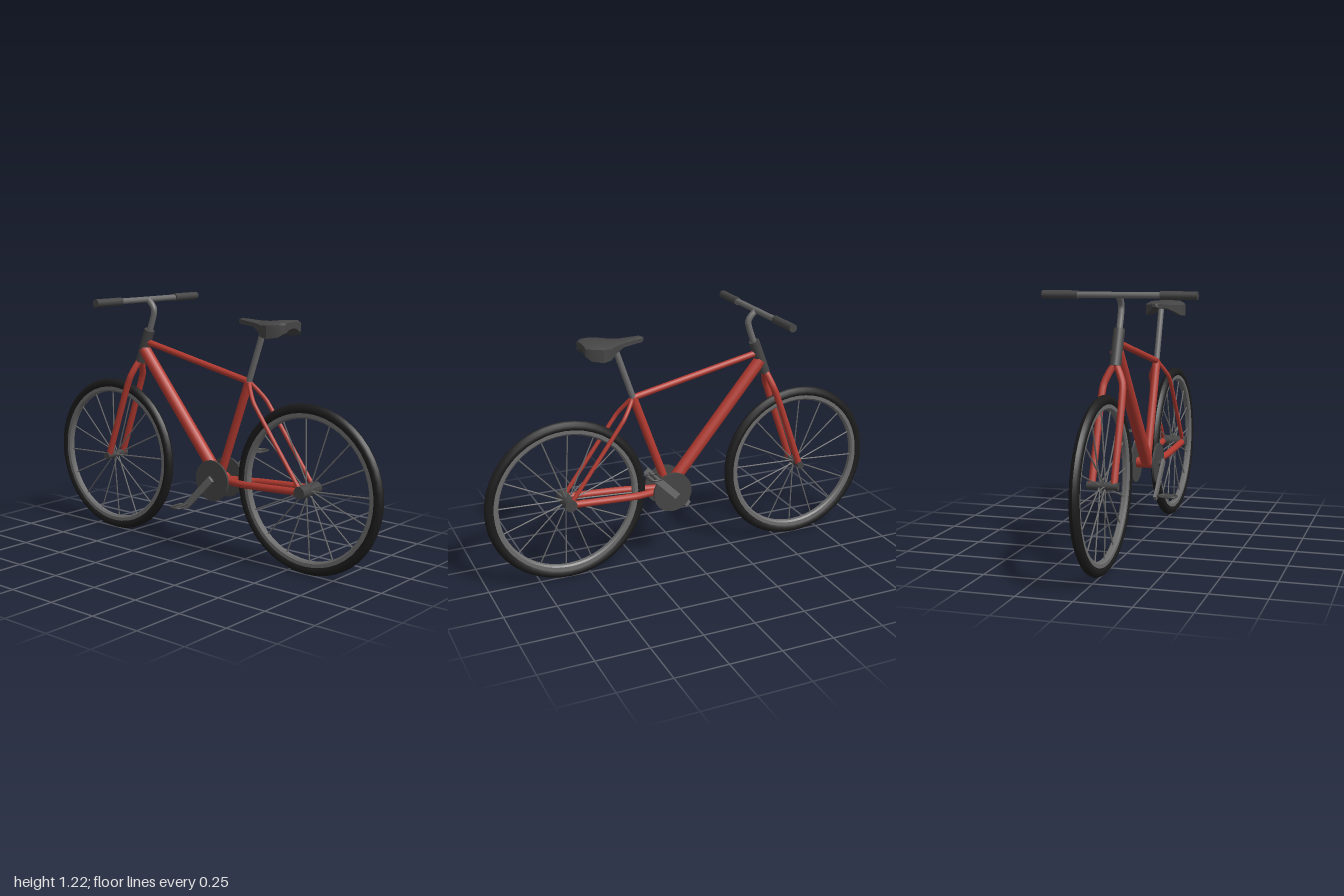
import * as THREE from 'three';
import { toCreasedNormals } from 'three/addons/utils/BufferGeometryUtils.js';

const mat = (color) => new THREE.MeshStandardMaterial({ color });
const V = (x, y, z) => new THREE.Vector3(x, y, z);

export function createModel() {
  const root = new THREE.Group();
  const red = mat(0xb23a30), black = mat(0x1c1c1c), dark = mat(0x454545), grey = mat(0x6c6c6c);

  const add = (name, geo, material, parent = root) => {
    const m = new THREE.Mesh(geo, material);
    m.name = name;
    parent.add(m);
    return m;
  };
  // straight round bar between two points
  const bar = (name, a, b, r, material, parent = root, r2 = r, sides = 16) => {
    const d = b.clone().sub(a);
    const m = add(name, new THREE.CylinderGeometry(r2, r, d.length(), sides), material, parent);
    m.position.copy(a).addScaledVector(d, 0.5);
    m.quaternion.setFromUnitVectors(V(0, 1, 0), d.normalize());
    return m;
  };
  // bent round bar through points
  const bent = (name, pts, r, material, parent = root) => {
    const curve = new THREE.CatmullRomCurve3(pts, false, 'centripetal');
    return add(name, new THREE.TubeGeometry(curve, 28, r, 12), material, parent);
  };

  // ---- wheels ----
  const lathe = (pts) => {
    const g = new THREE.LatheGeometry(pts.map(([r, h]) => new THREE.Vector2(r, h)), 48);
    g.rotateZ(Math.PI / 2);
    return toCreasedNormals(g, 0.7);
  };
  const tyreProfile = [[0.349, -0.014], [0.36, -0.021], [0.375, -0.021], [0.388, -0.012], [0.393, 0],
    [0.388, 0.012], [0.375, 0.021], [0.36, 0.021], [0.349, 0.014], [0.349, -0.014]];
  const rimProfile = [[0.327, -0.009], [0.335, -0.016], [0.353, -0.016], [0.353, 0.016],
    [0.335, 0.016], [0.327, 0.009], [0.327, -0.009]];
  const wheel = (name, z, hubRadius) => {
    const g = new THREE.Group();
    g.name = name;
    g.position.set(0, 0.395, z);
    root.add(g);
    add('tyre', lathe(tyreProfile), black, g);
    add('rim', lathe(rimProfile), grey, g);
    bar('hub', V(-0.07, 0, 0), V(0.07, 0, 0), hubRadius, dark, g);
    for (let i = 0; i < 16; i++) {
      const a = (i / 16) * Math.PI * 2 + 0.05, c = Math.cos(a), s = Math.sin(a);
      const x = i % 2 ? 0.012 : -0.012;
      bar('spoke', V(x, s * 0.01, c * 0.01), V(0, s * 0.332, c * 0.332), 0.0035, grey, g, 0.0035, 6);
    }
  };
  wheel('rearWheel', 0.605, 0.029);
  wheel('frontWheel', -0.605, 0.018);

  // ---- frame ----
  const crankCentre = V(0, 0.37, 0.092), seatJoint = V(0, 0.855, 0.265);
  bar('seatTube', crankCentre, seatJoint, 0.02, red);
  bar('topTube', seatJoint, V(0, 0.995, -0.385), 0.015, red);
  bar('downTube', V(0, 0.38, 0.085), V(0, 0.955, -0.395), 0.03, red);
  bar('bottomBracket', V(-0.05, 0.37, 0.092), V(0.05, 0.37, 0.092), 0.026, red);
  bar('headTube', V(0, 0.893, -0.421), V(0, 1.053, -0.359), 0.026, dark);
  for (const s of [-1, 1]) {
    bent('seatStay', [V(0, 0.855, 0.267), V(s * 0.018, 0.83, 0.285), V(s * 0.048, 0.77, 0.33),
      V(s * 0.05, 0.74, 0.352), V(s * 0.052, 0.395, 0.605)], 0.01, red);
    bent('chainStay', [V(s * 0.015, 0.37, 0.1), V(s * 0.022, 0.372, 0.16), V(s * 0.044, 0.376, 0.27),
      V(s * 0.048, 0.379, 0.32), V(s * 0.052, 0.395, 0.605)], 0.017, red);
    bent('forkLeg', [V(0, 0.905, -0.418), V(s * 0.014, 0.885, -0.427), V(s * 0.042, 0.822, -0.45),
      V(s * 0.046, 0.79, -0.463), V(s * 0.05, 0.395, -0.605)], 0.016, red);
  }

  // ---- handlebar ----
  bent('stem', [V(0, 1.04, -0.362), V(0, 1.12, -0.333), V(0, 1.152, -0.327),
    V(0, 1.175, -0.338), V(0, 1.203, -0.367)], 0.015, grey);
  bar('handlebar', V(-0.2, 1.203, -0.367), V(0.2, 1.203, -0.367), 0.014, grey);
  for (const s of [-1, 1]) {
    bar('grip', V(s * 0.19, 1.203, -0.367), V(s * 0.357, 1.203, -0.367), 0.019, dark);
  }

  // ---- saddle: arched sections [z, half width, top, skirt bottom, underside centre] ----
  bar('seatPost', V(0, 0.845, 0.262), V(0, 1.125, 0.357), 0.0145, grey);
  const sections = [
    [0.51, 0.062, 1.143, 1.098, 1.115], [0.49, 0.085, 1.15, 1.08, 1.112], [0.44, 0.104, 1.148, 1.072, 1.108],
    [0.4, 0.092, 1.143, 1.076, 1.106], [0.36, 0.062, 1.139, 1.098, 1.108], [0.32, 0.04, 1.138, 1.113, 1.115],
    [0.26, 0.025, 1.143, 1.118, 1.12], [0.225, 0.019, 1.145, 1.12, 1.122], [0.213, 0.009, 1.14, 1.125, 1.126]];
  const pos = [], idx = [];
  for (const [z, w, t, b, u] of sections) {
    const drop = (t - b) * 0.22;
    for (const [x, y] of [[w, b], [w, t - drop], [w * 0.75, t - drop * 0.25], [0, t], [-w * 0.75, t - drop * 0.25],
      [-w, t - drop], [-w, b], [-w * 0.8, b], [-w * 0.4, b + (u - b) * 0.8], [0, u],
      [w * 0.4, b + (u - b) * 0.8], [w * 0.8, b]]) pos.push(x, y, z);
  }
  const n = 12, last = (sections.length - 1) * n;
  for (let i = 0; i < sections.length - 1; i++) {
    for (let j = 0; j < n; j++) {
      const a = i * n + j, b = i * n + (j + 1) % n;
      idx.push(a, a + n, b, b, a + n, b + n);
    }
  }
  // end caps, joined top edge to underside
  for (const [o, flip] of [[0, false], [last, true]]) {
    const tri = (a, b, c) => (flip ? idx.push(o + a, o + c, o + b) : idx.push(o + a, o + b, o + c));
    for (const [a, b, c, d] of [[0, 1, 2, 11], [11, 2, 3, 10], [10, 3, 9, 9], [9, 3, 8, 8],
      [8, 3, 4, 7], [7, 4, 5, 6]]) {
      tri(a, b, c);
      if (c !== d) tri(a, c, d);
    }
  }
  const saddle = new THREE.BufferGeometry();
  saddle.setAttribute('position', new THREE.Float32BufferAttribute(pos, 3));
  saddle.setIndex(idx);
  add('saddle', toCreasedNormals(saddle, 0.6), dark);

  // ---- drivetrain ----
  bar('crankAxle', V(-0.085, 0.37, 0.092), V(0.085, 0.37, 0.092), 0.014, dark);
  for (const s of [-1, 1]) {
    bar('chainring', V(s * 0.051, 0.37, 0.092), V(s * 0.061, 0.37, 0.092), 0.098, dark, root, 0.098, 32);

    const side = new THREE.Group();
    side.name = s > 0 ? 'leftCrank' : 'rightCrank';
    side.position.copy(crankCentre);
    root.add(side);
    const py = s * 0.132, pz = s * 0.132;
    const arm = add('crankArm', new THREE.BoxGeometry(0.013, 0.225, 0.032), grey, side);
    arm.position.set(s * 0.081, py / 2, pz / 2);
    arm.rotation.x = Math.PI / 4;

    // pedal: rounded cage around an axle
    bar('pedalAxle', V(s * 0.08, py, pz), V(s * 0.18, py, pz), 0.006, dark, side);
    const cage = [[-0.04, -0.018], [-0.03, -0.027], [0, -0.029], [0.03, -0.027], [0.04, -0.018],
      [0.04, 0.018], [0.03, 0.027], [0, 0.029], [-0.03, 0.027], [-0.04, 0.018]]
      .map(([x, z]) => V(s * 0.14 + x, py, pz + z));
    const loop = new THREE.CatmullRomCurve3(cage, true, 'centripetal');
    add('pedalCage', new THREE.TubeGeometry(loop, 40, 0.005, 8, true), dark, side);
  }
  return root;
}
